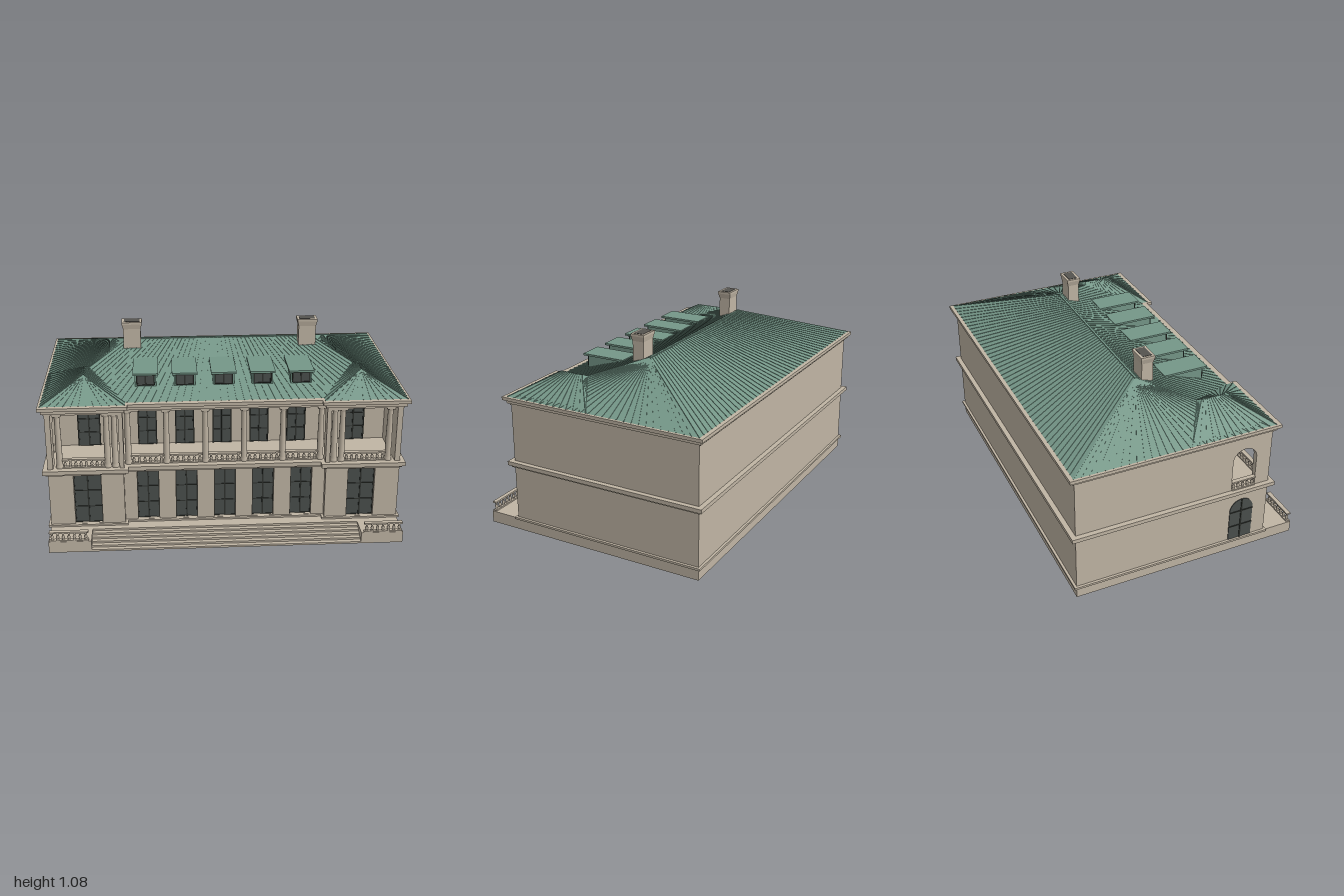
import * as THREE from 'three';
import { mergeGeometries } from 'three/addons/utils/BufferGeometryUtils.js';

const mat = (name, color) => {
  const m = new THREE.MeshStandardMaterial({ color });
  m.name = name;
  return m;
};

export function createModel() {
  const stone = mat('stone', 0xc0b5a4), copper = mat('copper green', 0x759788);
  const glass = mat('window glass', 0x4a4f4d), frame = mat('window frame', 0x30332f);
  const flue = mat('flue', 0x55534f);
  const root = new THREE.Group();
  root.name = 'mansion';

  const add = (name, geo, material, parent = root) => {
    const m = new THREE.Mesh(geo, material);
    m.name = name;
    parent.add(m);
    return m;
  };
  // box given by its limits
  const boxGeo = (x0, x1, y0, y1, z0, z1) =>
    new THREE.BoxGeometry(x1 - x0, y1 - y0, z1 - z0).translate((x0 + x1) / 2, (y0 + y1) / 2, (z0 + z1) / 2);
  const box = (name, material, ...b) => add(name, boxGeo(...b), material);

  // slab following the house outline, grown by o
  const slab = (name, o, y0, y1, centre = 0.45, wing = 0.485) => {
    const w = 0.965 + o, i = 0.555 - o, b = 0.63 + o, c = -centre - o, f = -wing - o;
    const pts = [[-w, b], [-w, f], [-i, f], [-i, c], [i, c], [i, f], [w, f], [w, b]];
    const s = new THREE.Shape(pts.map(p => new THREE.Vector2(...p)));
    const g = new THREE.ExtrudeGeometry(s, { depth: y1 - y0, bevelEnabled: false });
    return add(name, g.rotateX(-Math.PI / 2).translate(0, y0, 0), stone);
  };
  const rect = (P, x0, x1, y0, y1) =>
    new P([[x0, y0], [x1, y0], [x1, y1], [x0, y1]].map(p => new THREE.Vector2(...p)));
  const arch = (P, c, w, y0, y1) => {
    const p = new P(), r = w / 2;
    p.moveTo(c - r, y0).lineTo(c + r, y0).lineTo(c + r, y1 - r);
    p.absarc(c, y1 - r, r, 0, Math.PI, false);
    return p.lineTo(c - r, y0);
  };

  // window: glass plate and glazing bars
  const windowUnit = (name, x, y0, w, h, z, rows, cols = 2) => {
    add(name + 'Glass', boxGeo(x - w / 2, x + w / 2, y0, y0 + h, z, z + 0.004), glass);
    const bars = [], t = 0.004;
    for (let i = 0; i <= cols; i++) {
      const bx = x - w / 2 + (w * i) / cols;
      bars.push(boxGeo(bx - t, bx + t, y0, y0 + h, z, z + 0.009));
    }
    for (let j = 0; j <= rows; j++) {
      const by = y0 + (h * j) / rows;
      bars.push(boxGeo(x - w / 2, x + w / 2, by - t / 2, by + t / 2, z, z + 0.008));
    }
    add(name + 'Bars', mergeGeometries(bars), frame);
  };

  // balustrade running along x
  const balusterProfile = [[0.008, 0], [0.005, 0.15], [0.010, 0.38], [0.004, 0.7], [0.008, 0.9], [0.008, 1]];
  const balustrade = (x0, x1, y, z, h = 0.052) => {
    const g = new THREE.LatheGeometry(balusterProfile.map(p => new THREE.Vector2(p[0], p[1] * (h - 0.016))), 8);
    const n = Math.max(2, Math.round((x1 - x0) / 0.028));
    const parts = [boxGeo(x0, x1, y, y + 0.007, z - 0.011, z + 0.011),
      boxGeo(x0, x1, y + h - 0.009, y + h, z - 0.012, z + 0.012)];
    for (let i = 0; i < n; i++) {
      parts.push(g.clone().translate(x0 + ((i + 0.5) * (x1 - x0)) / n, y + 0.007, z));
    }
    return add('balustrade', mergeGeometries(parts), stone);
  };

  // plinth and front steps
  box('plinth', stone, -0.965, 0.965, 0, 0.065, -0.63, 0.535);
  for (let i = 0; i < 5; i++) {
    box('step', stone, -0.735, 0.735, 0, 0.065 * (5 - i) / 6, 0.5, 0.535 + 0.026 * (i + 1));
  }
  for (const s of [-1, 1]) {
    box('stairBlock', stone, Math.min(s * 0.735, s * 0.965), Math.max(s * 0.735, s * 0.965), 0, 0.065, 0.5, 0.665);
    balustrade(s * 0.855 - 0.105, s * 0.855 + 0.105, 0.065, 0.652, 0.057);
  }

  // ground floor core and pierced facades
  const centres = [-0.425, -0.2125, 0, 0.2125, 0.425];
  slab('groundFloor', 0, 0.065, 0.385, 0.425, 0.46);
  const facade = (x0, x1, z0, z1, xs, w) => {
    const s = rect(THREE.Shape, x0, x1, 0.065, 0.385);
    for (const x of xs) {
      s.holes.push(rect(THREE.Path, x - w / 2, x + w / 2, 0.076, 0.367));
      windowUnit('groundWindow', x, 0.076, w, 0.291, z0, 3);
    }
    const g = new THREE.ExtrudeGeometry(s, { depth: z1 - z0, bevelEnabled: false });
    add('groundFacade', g.translate(0, 0, z0), stone);
  };
  facade(-0.555, 0.555, 0.425, 0.45, centres, 0.118);
  facade(-0.965, -0.555, 0.46, 0.485, [-0.755], 0.15);
  facade(0.555, 0.965, 0.46, 0.485, [0.755], 0.15);

  // mouldings
  slab('baseMoulding', 0.014, 0.063, 0.075);
  slab('beltLower', 0.012, 0.375, 0.39);
  slab('beltCourse', 0.027, 0.388, 0.41);
  slab('architrave', 0.004, 0.728, 0.742);
  slab('corniceLower', 0.016, 0.74, 0.762);
  slab('corniceUpper', 0.033, 0.76, 0.778);

  // upper floor: rear block, loggia end walls
  box('upperFloor', stone, -0.965, 0.965, 0.4, 0.735, -0.63, 0.17);
  box('loggiaEndWall', stone, 0.935, 0.965, 0.4, 0.735, 0.17, 0.485);
  const endWall = rect(THREE.Shape, 0.17, 0.485, 0.4, 0.735);
  endWall.holes.push(arch(THREE.Path, 0.33, 0.14, 0.41, 0.66));
  add('archedEndWall', new THREE.ExtrudeGeometry(endWall, { depth: 0.03, bevelEnabled: false, curveSegments: 16 })
    .rotateY(-Math.PI / 2).translate(-0.935, 0, 0), stone);
  const sideRail = balustrade(-0.07, 0.07, 0.41, 0, 0.055);
  sideRail.rotation.y = Math.PI / 2;
  sideRail.position.set(-0.96, 0, 0.33);

  // arched ground window on the end wall
  add('archedWindow', new THREE.ExtrudeGeometry(arch(THREE.Shape, 0.33, 0.14, 0.076, 0.335),
    { depth: 0.004, bevelEnabled: false, curveSegments: 16 }).rotateY(-Math.PI / 2).translate(-0.965, 0, 0), glass);
  box('archedWindowBar', frame, -0.973, -0.965, 0.076, 0.335, 0.326, 0.334);
  for (const y of [0.16, 0.255]) box('archedWindowBar', frame, -0.973, -0.965, y, y + 0.006, 0.26, 0.4);

  // loggia windows
  for (const x of centres) windowUnit('loggiaWindow', x, 0.41, 0.1, 0.245, 0.17, 3);
  for (const x of [-0.755, 0.755]) windowUnit('loggiaWindow', x, 0.41, 0.12, 0.245, 0.17, 3);

  // columns and loggia balustrades
  const column = (x, z) => {
    const shaft = new THREE.LatheGeometry([[0.021, 0.41], [0.021, 0.425], [0.017, 0.432], [0.0175, 0.53],
      [0.0145, 0.7], [0.021, 0.717]].map(p => new THREE.Vector2(...p)), 14).translate(x, 0, z);
    add('column', mergeGeometries([shaft, boxGeo(x - 0.023, x + 0.023, 0.716, 0.73, z - 0.023, z + 0.023)]), stone);
  };
  for (const s of [-1, 1]) {
    for (const x of [0.9, 0.64, 0.598]) column(s * x, 0.46);
    for (const x of [0.528, 0.319, 0.106]) column(s * x, 0.425);
    box('loggiaPier', stone, s * 0.563 - 0.012, s * 0.563 + 0.012, 0.41, 0.73, 0.42, 0.485);
    balustrade(s * 0.77 - 0.115, s * 0.77 + 0.115, 0.41, 0.462);
    balustrade(s * 0.4235 - 0.09, s * 0.4235 + 0.09, 0.41, 0.428);
    balustrade(s * 0.2125 - 0.09, s * 0.2125 + 0.09, 0.41, 0.428);
  }
  balustrade(-0.09, 0.09, 0.41, 0.428);

  // hipped roof: corners and the ridge point above each, running front left, front right, back right, back left
  const V = (x, y, z) => new THREE.Vector3(x, y, z);
  const hipRoof = (name, eaves, tops, spacing) => {
    const pos = [], ribs = [];
    for (let i = 0; i < 4; i++) {
      const j = (i + 1) % 4, a = eaves[i], b = eaves[j], c = tops[j], d = tops[i];
      for (const p of [a, b, c]) pos.push(p.x, p.y, p.z);
      if (c !== d) for (const p of [a, c, d]) pos.push(p.x, p.y, p.z);
      const along = b.clone().sub(a).normalize();
      const n = Math.round(a.distanceTo(b) / spacing);
      // standing seams from eave to ridge
      for (let k = 0; k < n; k++) {
        const lo = a.clone().lerp(b, k / n), hi = d.clone().lerp(c, k / n);
        const up = hi.clone().sub(lo), len = up.length();
        up.normalize();
        const out = along.clone().cross(up).normalize();
        const side = up.clone().cross(out);
        const m = new THREE.Matrix4().makeBasis(side, up, out).setPosition(lo.lerp(hi, 0.5));
        ribs.push(new THREE.BoxGeometry(0.004, len, 0.005).applyMatrix4(m));
      }
    }
    const g = new THREE.BufferGeometry();
    g.setAttribute('position', new THREE.Float32BufferAttribute(pos, 3));
    g.computeVertexNormals();
    add(name, g, copper);
    add(name + 'Seams', mergeGeometries(ribs), copper);
  };
  const rect4 = (x0, x1, z0, z1) => [V(x0, 0.779, z1), V(x1, 0.779, z1), V(x1, 0.779, z0), V(x0, 0.779, z0)];
  const L = V(-0.53, 0.955, -0.1), R = V(0.53, 0.955, -0.1);
  hipRoof('mainRoof', rect4(-0.985, 0.985, -0.642, 0.452), [L, R, R, L], 0.042);
  box('ridgeCap', copper, -0.53, 0.53, 0.95, 0.959, -0.106, -0.094);
  for (const s of [-1, 1]) {
    const F = V(s * 0.76, 0.884, 0.3), K = V(s * 0.76, 0.884, 0.17);
    hipRoof('wingRoof', rect4(s * 0.76 - 0.225, s * 0.76 + 0.225, 0, 0.492), [F, F, K, K], 0.04);
  }

  // dormers
  for (const x of centres) {
    box('dormer', copper, x - 0.058, x + 0.058, 0.8, 0.89, 0.1, 0.322);
    box('dormerRoof', copper, x - 0.069, x + 0.069, 0.888, 0.899, 0.09, 0.345);
    windowUnit('dormerWindow', x, 0.828, 0.092, 0.054, 0.322, 1);
  }

  // chimneys with a flared top
  for (const x of [-0.5, 0.5]) {
    box('chimney', stone, x - 0.049, x + 0.049, 0.88, 1.05, -0.074, -0.009);
    const flare = new THREE.CylinderGeometry(Math.SQRT1_2, Math.SQRT1_2 * 0.86, 0.03, 4).toNonIndexed();
    flare.rotateY(Math.PI / 4).scale(0.114, 1, 0.08).translate(x, 1.055, -0.0415);
    flare.computeVertexNormals();
    add('chimneyFlare', flare, stone);
    box('chimneyCap', stone, x - 0.057, x + 0.057, 1.068, 1.08, -0.0815, -0.0015);
    box('chimneyFlue', flue, x - 0.044, x + 0.044, 1.078, 1.082, -0.068, -0.015);
  }
  return root;
}
